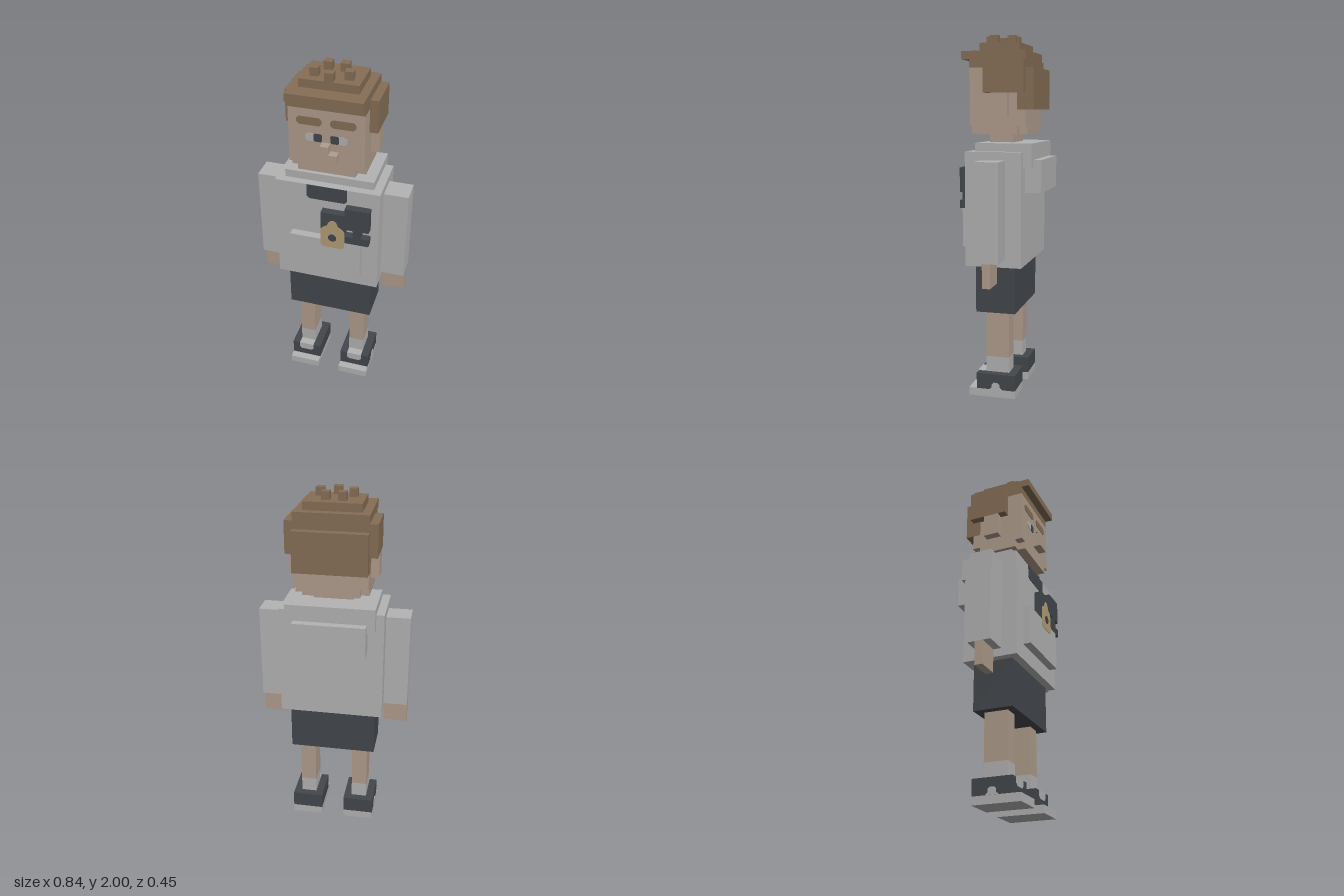
import * as THREE from 'three';

const mat = (name, color) => Object.assign(new THREE.MeshStandardMaterial({ color }), { name });

export function createModel() {
  const skin = mat('skin', 0xb09d8d);
  const cloth = mat('light grey', 0xb3b3b3);
  const dark = mat('charcoal', 0x43474c);
  const hair = mat('brown hair', 0x866e56);
  const gold = mat('gold', 0xb39f74);

  // everything is laid out in blocks; the figure is 45 blocks tall
  const model = new THREE.Group();
  model.name = 'blockFigure';
  model.scale.setScalar(2 / 45);

  // box from its min and max on each axis
  const box = (name, m, [x0, x1], [y0, y1], [z0, z1]) => {
    const mesh = new THREE.Mesh(new THREE.BoxGeometry(Math.abs(x1 - x0), y1 - y0, z1 - z0), m);
    mesh.position.set((x0 + x1) / 2, (y0 + y1) / 2, (z0 + z1) / 2);
    mesh.name = name;
    model.add(mesh);
    return mesh;
  };
  // thin painted plate facing +z, from outline points
  const plate = (name, m, pts, z, t = 0.06) => {
    const shape = new THREE.Shape(pts.map(([x, y]) => new THREE.Vector2(x, y)));
    const mesh = new THREE.Mesh(new THREE.ExtrudeGeometry(shape, { depth: t, bevelEnabled: false }), m);
    mesh.position.z = z;
    mesh.name = name;
    model.add(mesh);
    return mesh;
  };
  // rectangle with cut corners: bottom left, bottom right, top right, top left
  const cut = (x0, x1, y0, y1, [a, b, c, d]) => [
    [x0 + a, y0], [x1 - b, y0], [x1, y0 + b], [x1, y1 - c],
    [x1 - c, y1], [x0 + d, y1], [x0, y1 - d], [x0, y0 + a],
  ];

  for (const s of [-1, 1]) {
    const side = s > 0 ? 'left' : 'right';
    const X = (a, b) => [s * a, s * b].sort((p, q) => p - q);

    // shoes, socks, legs
    box(side + 'Sole', cloth, X(1.5, 5.5), [0, 1], [-2, 4]);
    box(side + 'Shoe', dark, X(1.5, 5.5), [1, 3], [-2, 3]);
    plate(side + 'ShoeTongue', cloth, cut(...X(2.5, 4.5), 2, 3, [0.3, 0.3, 0, 0]), 3);
    box(side + 'ShoeTongueTop', cloth, X(2.5, 4.5), [3, 3.06], [2, 3.06]);
    const patch = plate(side + 'ShoePatch', cloth,
      [[-0.85, 1], [0.85, 1], [0.5, 1.3], [0.5, 1.65], [0.25, 1.9], [-0.25, 1.9], [-0.5, 1.65], [-0.5, 1.3]], 0);
    patch.rotation.y = s * Math.PI / 2;
    patch.position.set(s * 5.5, 0, 0.5);
    box(side + 'Sock', cloth, X(2.5, 4.5), [3, 5], [-1, 2]);
    box(side + 'Leg', skin, X(2.5, 4.5), [5, 11], [-1, 2]);

    // arms
    box(side + 'Sleeve', cloth, X(6.5, 9.5), [18, 30], [-1, 2]);
    box(side + 'Hand', skin, X(6.5, 9.5), [15, 18], [0, 1]);

    // ears and side hair
    box(side + 'Ear', skin, X(4.5, 5.5), [35, 38], [-1, 1]);
    box(side + 'SideHair', hair, X(4.5, 5.5), [38, 42], [-3, 2]);
    box(side + 'NapeHair', hair, X(4.5, 4.56), [36, 38], [-3, -2]);

    // eyes and brows
    plate(side + 'Brow', hair, cut(...X(0.5, 3.5), 39, 40, [0.3, 0.3, 0.3, 0.3]), 4);
    plate(side + 'Pupil', dark, cut(...X(0.5, 1.5), 37, 38, [0.15, 0.15, 0.15, 0.15]), 4);
    const w = s > 0 ? [0, 0.3, 0.3, 0] : [0.3, 0, 0, 0.3];
    plate(side + 'EyeWhite', cloth, cut(...X(1.5, 2.5), 37, 38, w), 4);
  }

  // shorts and sweater
  box('shorts', dark, [-5.5, 5.5], [11, 17], [-2, 3]);
  box('sweater', cloth, [-6.5, 6.5], [17, 31], [-3, 4]);
  box('pocket', cloth, [-4.5, 4.5], [19, 24], [4, 5]);
  box('collar', cloth, [-5.5, 5.5], [31, 32], [-4, 3]);
  box('collarBack', cloth, [-5.5, 5.5], [29, 31], [-4, -3]);
  box('hood', cloth, [-4.5, 4.5], [26, 30], [-5, -3]);
  plate('neckPatch', dark, cut(-2.5, 2.5, 29.1, 31, [0.3, 0.3, 0, 0]), 4);

  // chest ornament
  box('ornamentBody', dark, [-0.5, 2.5], [24, 28], [4, 5]);
  box('ornamentTop', dark, [2.5, 5.5], [26, 29], [4, 5]);
  box('ornamentStem', dark, [3.5, 4.5], [25, 26], [4, 5]);
  box('ornamentBase', dark, [2.5, 5.5], [24, 25], [4, 5]);
  plate('goldPlate', gold, [
    [-0.2, 23], [2.2, 23], [2.5, 23.3], [2.5, 25.6], [2.1, 26], [1.7, 26.2], [1.5, 26.7],
    [1.2, 27], [0.8, 27], [0.5, 26.7], [0.3, 26.2], [-0.1, 26], [-0.5, 25.6], [-0.5, 23.3],
  ], 5);
  plate('goldPlateCentre', dark, cut(0.5, 1.5, 24, 25, [0.3, 0.3, 0.3, 0.3]), 5, 0.12);

  // neck and head, with the lower corners notched
  box('neck', skin, [-2.5, 2.5], [32, 33], [-1, 2]);
  box('jawWide', skin, [-4.5, 4.5], [33, 34], [-2, 3]);
  box('jawDeep', skin, [-3.5, 3.5], [33, 34], [-3, 4]);
  box('head', skin, [-4.5, 4.5], [34, 41], [-3, 4]);
  box('noseBridge', skin, [-0.5, 0.5], [35, 37], [4, 5]);
  box('noseTip', skin, [0.5, 1.5], [35, 36], [4, 5]);

  // hair
  box('hairBand', hair, [-4.5, 4.5], [41, 42], [-3, 4]);
  box('backHair', hair, [-4.5, 4.5], [36, 41], [-4, -3]);
  box('hairBrim', hair, [-4.5, 4.5], [42, 43], [-3, 5]);
  box('hairCrown', hair, [-3.5, 3.5], [43, 44], [-2, 3]);
  for (const [x, z] of [[-1, -0.5], [1, -0.5], [-2, 1.5], [2, 1.5], [0, 2.5]])
    box('hairTuft', hair, [x - 0.5, x + 0.5], [44, 45], [z - 0.5, z + 0.5]);

  const root = new THREE.Group();
  root.name = 'figure';
  root.add(model);
  return root;
}
